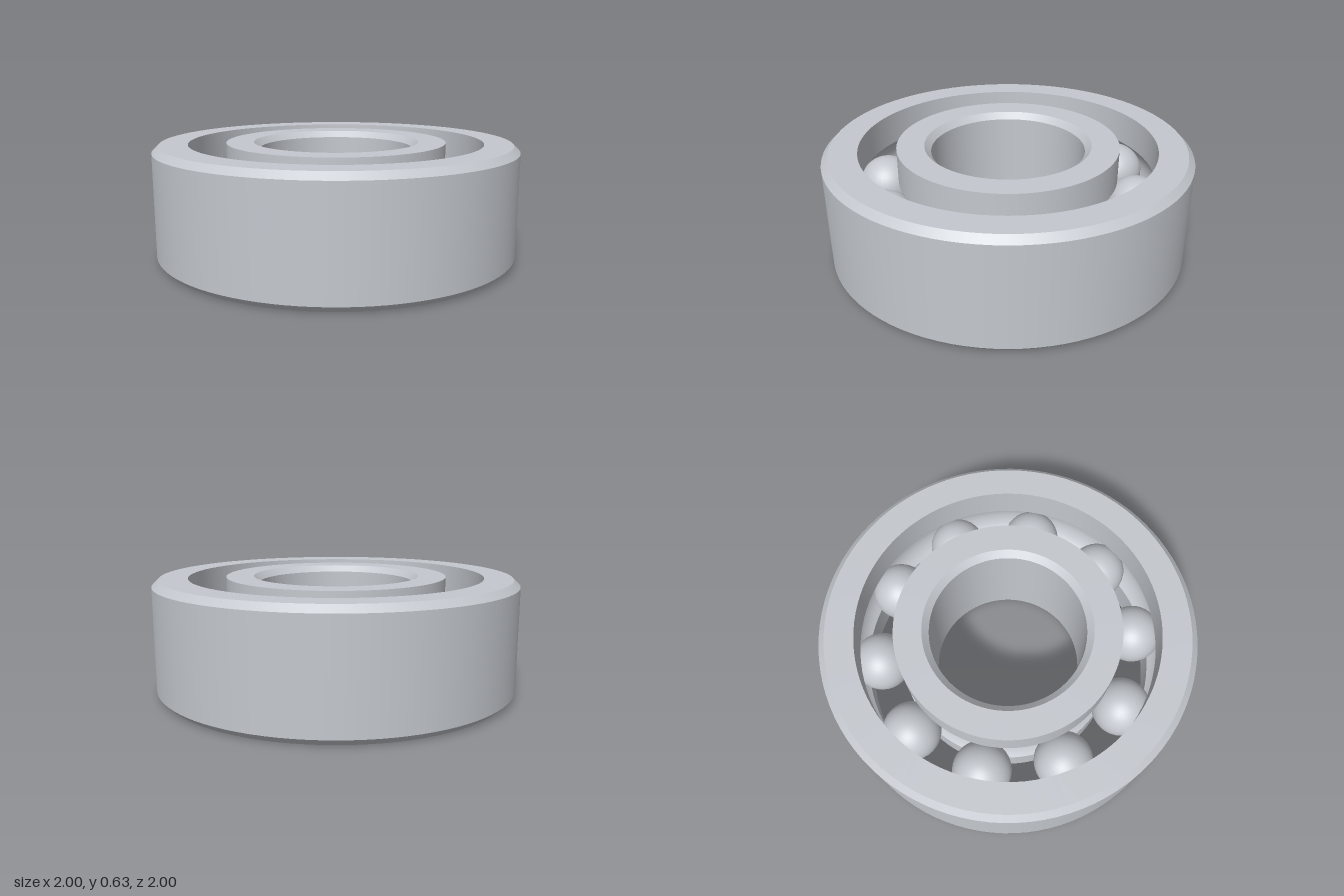
import * as THREE from 'three';
import { mergeGeometries } from 'three/addons/utils/BufferGeometryUtils.js';

const HEIGHT = 0.63, MID = HEIGHT / 2, CHAMFER = 0.035;
const PITCH = 0.71, BALL = 0.16, GROOVE = 0.165, BALLS = 10;

// Revolve each section on its own so that the edges between sections stay sharp
function revolve(sections) {
  return mergeGeometries(sections.map((s) =>
    new THREE.LatheGeometry(s.map(([r, y]) => new THREE.Vector2(r, y)), 96)));
}

// Circular raceway cut into the cylinder of radius r; side is +1 outside the balls, -1 inside
function raceway(r, side) {
  const half = Math.acos(Math.abs(r - PITCH) / GROOVE), points = [];
  for (let i = 0; i <= 12; i++) {
    const a = half * (i / 6 - 1);
    points.push([PITCH + side * GROOVE * Math.cos(a), MID - side * GROOVE * Math.sin(a)]);
  }
  return points;
}

// Join consecutive corners into straight sections
const straight = (corners) => corners.slice(1).map((p, i) => [corners[i], p]);

export function createModel() {
  const model = new THREE.Group();
  model.name = 'ballBearing';
  const steel = new THREE.MeshStandardMaterial({ color: 0xc4c8ce });
  steel.name = 'steel';
  const add = (name, geometry, parent = model) => {
    const mesh = new THREE.Mesh(geometry, steel);
    mesh.name = name;
    parent.add(mesh);
    return mesh;
  };

  // Outer ring: chamfered outside, raceway inside
  const outerR = 1, outerBore = 0.81;
  const outerTrack = raceway(outerBore, 1);
  add('outerRing', revolve([
    ...straight([
      outerTrack[12], [outerBore, 0], [outerR - CHAMFER, 0], [outerR, CHAMFER],
      [outerR, HEIGHT - CHAMFER], [outerR - CHAMFER, HEIGHT], [outerBore, HEIGHT], outerTrack[0],
    ]),
    outerTrack,
  ]));

  // Inner ring: raceway outside, chamfered bore
  const innerR = 0.605, bore = 0.42;
  const innerTrack = raceway(innerR, -1);
  add('innerRing', revolve([
    ...straight([
      innerTrack[12], [innerR, HEIGHT], [bore + CHAMFER, HEIGHT], [bore, HEIGHT - CHAMFER],
      [bore, CHAMFER], [bore + CHAMFER, 0], [innerR, 0], innerTrack[0],
    ]),
    innerTrack,
  ]));

  // Balls evenly spaced between the rings
  const balls = new THREE.Group();
  balls.name = 'balls';
  model.add(balls);
  const ballGeometry = new THREE.SphereGeometry(BALL, 32, 20);
  for (let i = 0; i < BALLS; i++) {
    const a = (i / BALLS) * Math.PI * 2;
    add('ball', ballGeometry, balls).position.set(PITCH * Math.cos(a), MID, PITCH * Math.sin(a));
  }
  return model;
}
